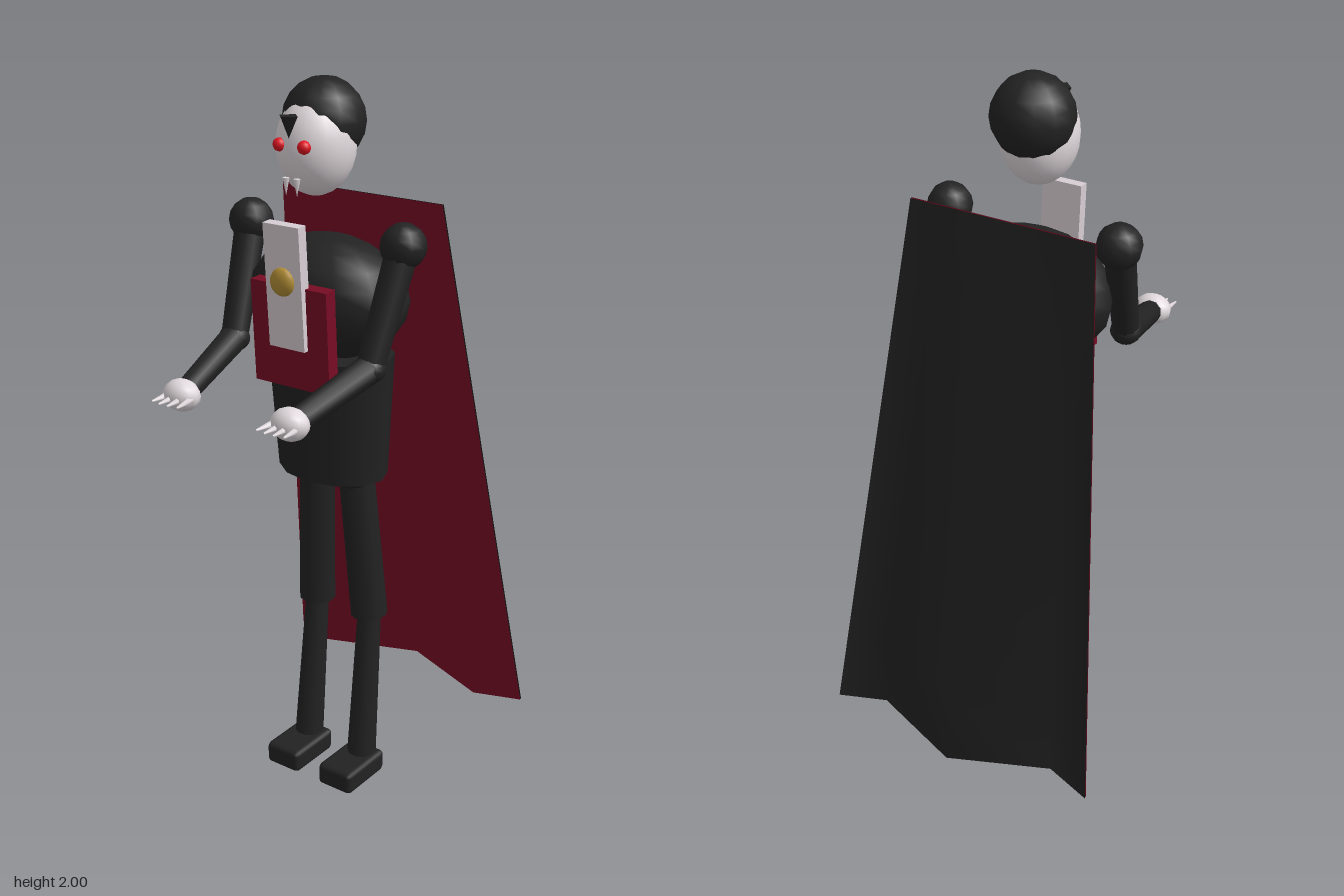
import * as THREE from 'three';
import { RoundedBoxGeometry } from 'three/addons/geometries/RoundedBoxGeometry.js';

const mat = (name, color, side = THREE.FrontSide) => {
  const m = new THREE.MeshStandardMaterial({ color, side });
  m.name = name;
  return m;
};

export function createModel() {
  const model = new THREE.Group();
  model.name = 'capedFigure';
  const black = mat('black cloth', 0x222222);
  const capeBlack = mat('cape black', 0x202020, THREE.DoubleSide);
  const red = mat('dark red', 0x780d24, THREE.DoubleSide);
  const pale = mat('pale skin', 0xe0d8dc);
  const white = mat('shirt white', 0xd8ced4);
  const eyeRed = mat('eye red', 0xe01522);
  const gold = mat('gold', 0xb08c35);

  const add = (name, geo, material, pos = [0, 0, 0], parent = model) => {
    const mesh = new THREE.Mesh(geo, material);
    mesh.name = name;
    mesh.position.set(...pos);
    parent.add(mesh);
    return mesh;
  };
  const ball = (name, material, pos, r, parent = model, w = 12, h = 10) => {
    const mesh = add(name, new THREE.SphereGeometry(1, w, h), material, pos, parent);
    mesh.scale.set(...r);
    return mesh;
  };
  // Tapered limb running from a to b
  const limb = (name, material, a, b, ra, rb, parent, sides = 10) => {
    const p = new THREE.Vector3(...a), q = new THREE.Vector3(...b);
    const dir = q.clone().sub(p);
    const mesh = add(name, new THREE.CylinderGeometry(rb, ra, dir.length(), sides), material,
      p.clone().add(q).multiplyScalar(0.5).toArray(), parent);
    mesh.quaternion.setFromUnitVectors(new THREE.Vector3(0, 1, 0), dir.normalize());
    return mesh;
  };

  // Head
  ball('face', pale, [0, 1.835, 0.053], [0.1, 0.127, 0.106], model, 20, 14);
  ball('hair', black, [0, 1.892, 0.02], [0.107, 0.108, 0.108]);
  add('widowsPeak', new THREE.ConeGeometry(0.028, 0.055, 4), black, [0, 1.892, 0.163]).rotation.x = Math.PI;
  for (const s of [1, -1]) {
    ball('eye', eyeRed, [s * 0.038, 1.845, 0.152], [0.017, 0.017, 0.017]);
    add('fang', new THREE.ConeGeometry(0.009, 0.045, 6), pale, [s * 0.017, 1.744, 0.154]).rotation.x = Math.PI;
  }

  // Torso and hips
  ball('torso', black, [0, 1.435, 0], [0.235, 0.165, 0.157], model, 12, 10);
  const hips = add('hips', new THREE.CylinderGeometry(0.185, 0.163, 0.345, 12), black, [0, 1.115, -0.014]);
  hips.scale.z = 0.72;
  hips.rotation.x = 0.03;

  // Vest, shirt front and medallion
  add('vest', new THREE.BoxGeometry(0.24, 0.275, 0.038), red, [0, 1.362, 0.147]).rotation.x = 0.06;
  add('shirtFront', new THREE.BoxGeometry(0.112, 0.325, 0.03), white, [0, 1.497, 0.175]).rotation.x = 0.07;
  ball('medallion', gold, [0, 1.513, 0.195], [0.037, 0.037, 0.018], model, 14, 10);

  for (const s of [1, -1]) {
    // Arm with hand and clawed fingers
    const arm = new THREE.Group();
    arm.name = s > 0 ? 'leftArm' : 'rightArm';
    model.add(arm);
    const elbow = [s * 0.22, 1.31, 0.125], wrist = [s * 0.178, 1.235, 0.37];
    ball('shoulder', black, [s * 0.243, 1.605, 0.018], [0.06, 0.06, 0.06], arm, 10, 8);
    limb('upperArm', black, [s * 0.243, 1.6, 0.02], elbow, 0.042, 0.036, arm);
    ball('elbow', black, elbow, [0.042, 0.038, 0.042], arm);
    limb('forearm', black, elbow, wrist, 0.039, 0.032, arm);
    ball('hand', pale, [s * 0.174, 1.233, 0.39], [0.053, 0.042, 0.042], arm);
    for (let i = 0; i < 4; i++) {
      const x = s * (0.135 + i * 0.024);
      limb('finger', pale, [x, 1.231, 0.4], [x + s * (i - 2) * 0.004, 1.228, i % 3 ? 0.468 : 0.462],
        0.011, 0.003, arm, 6);
    }

    // Leg and shoe
    const leg = new THREE.Group();
    leg.name = s > 0 ? 'leftLeg' : 'rightLeg';
    model.add(leg);
    ball('hipJoint', black, [s * 0.066, 0.95, -0.025], [0.06, 0.055, 0.06], leg);
    limb('thigh', black, [s * 0.066, 0.95, -0.035], [s * 0.092, 0.502, -0.068], 0.05, 0.053, leg);
    limb('shin', black, [s * 0.092, 0.52, -0.07], [s * 0.096, 0.05, -0.03], 0.033, 0.042, leg);
    add('shoe', new RoundedBoxGeometry(0.114, 0.065, 0.175, 1, 0.013), black, [s * 0.094, 0.0325, 0.018], leg);
  }

  // Cape: straight shoulder edge flaring to a folded hem
  const hem = [[-0.408, -0.412], [-0.274, -0.363], [0, -0.47], [0.274, -0.363], [0.408, -0.412]];
  const rows = 8;
  const sheet = (name, material, offset, facing) => {
    const points = [], index = [];
    for (let r = 0; r <= rows; r++) {
      const t = r / rows;
      for (const [x, z] of hem) {
        points.push(x * (0.63 + 0.37 * t), 1.683 - 1.52 * t, -0.14 + (z + 0.14) * t + offset);
      }
    }
    for (let r = 0; r < rows; r++) {
      for (let c = 0; c < 4; c++) {
        const a = r * 5 + c, b = a + 5;
        if (facing > 0) index.push(a, b, a + 1, b, b + 1, a + 1);
        else index.push(a, a + 1, b, b, a + 1, b + 1);
      }
    }
    const geo = new THREE.BufferGeometry();
    geo.setAttribute('position', new THREE.Float32BufferAttribute(points, 3));
    geo.setIndex(index);
    geo.computeVertexNormals();
    add(name, geo, material);
  };
  sheet('capeLining', red, 0.005, 1);
  sheet('capeOuter', capeBlack, 0, -1);

  return model;
}
